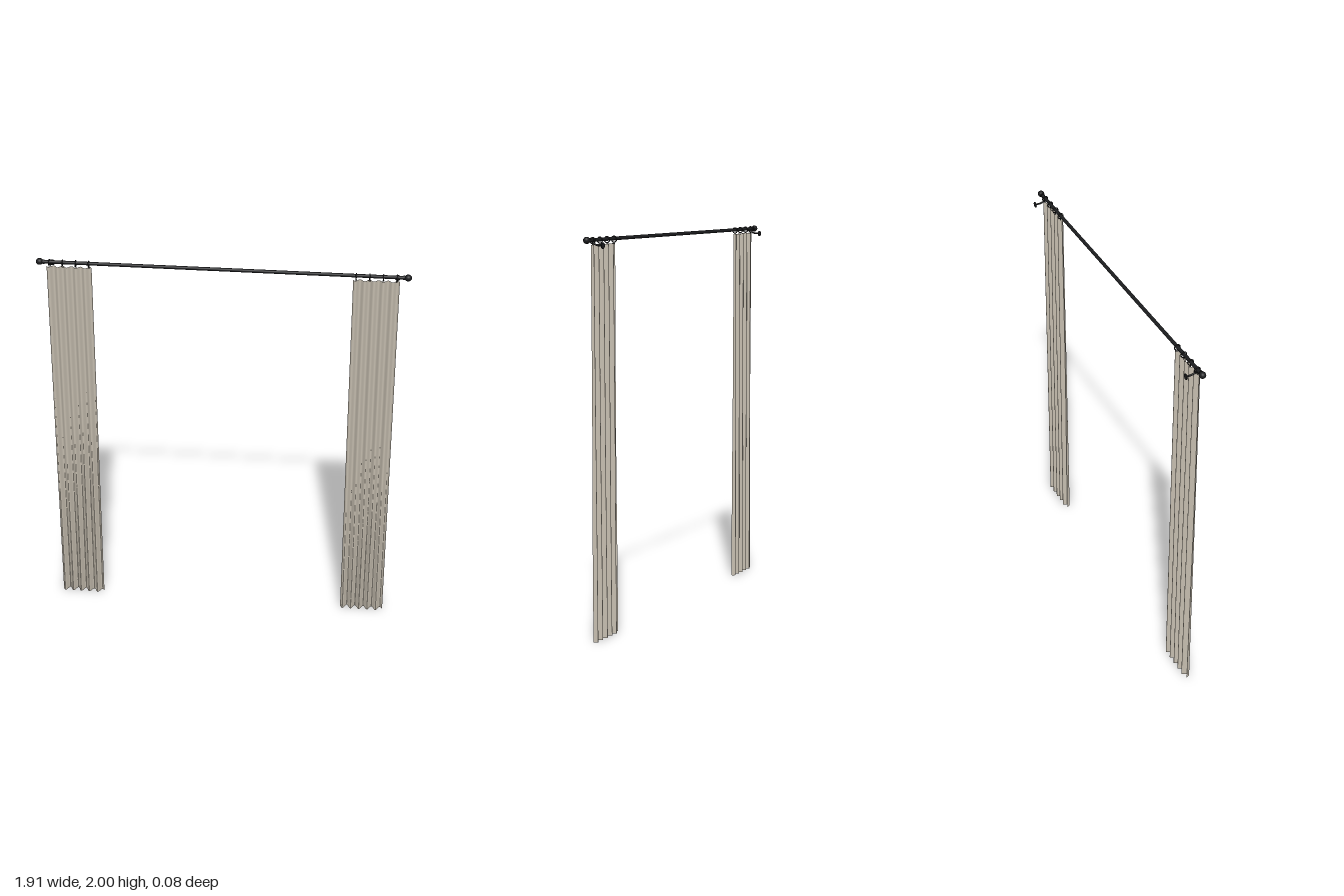
import * as THREE from 'three';

const ROD_Y = 1.983, ROD_Z = 0.02;
const metal = new THREE.MeshStandardMaterial({ color: 0x1c1d1f });
const cloth = new THREE.MeshStandardMaterial({ color: 0xc4bcae, side: THREE.DoubleSide });

function add(parent, name, geometry, material, x = 0, y = 0, z = 0) {
  const mesh = new THREE.Mesh(geometry, material);
  mesh.name = name;
  mesh.position.set(x, y, z);
  parent.add(mesh);
  return mesh;
}

// Pleated sheet: five folds that deepen and drift slightly towards the hem
function curtainGeometry(width, height, folds) {
  const geo = new THREE.PlaneGeometry(width, height, folds * 16, 32);
  const pos = geo.attributes.position;
  for (let i = 0; i < pos.count; i++) {
    const u = pos.getX(i) / width + 0.5;
    const drop = 0.5 - pos.getY(i) / height;
    const depth = 0.011 + 0.006 * drop;
    const drift = 0.25 * Math.sin(drop * 5 + u * 4) * drop;
    const z = Math.sin(u * folds * Math.PI * 2 + drift);
    pos.setZ(i, depth * z);
  }
  geo.computeVertexNormals();
  return geo;
}

// Ring around the rod with a small eyelet that holds the cloth
function curtainRing(x) {
  const ring = new THREE.Group();
  ring.name = 'curtainRing';
  ring.position.set(x, ROD_Y - 0.003, ROD_Z);
  add(ring, 'ringHoop', new THREE.TorusGeometry(0.0145, 0.0028, 10, 32), metal).rotation.y = Math.PI / 2;
  add(ring, 'ringEyelet', new THREE.TorusGeometry(0.004, 0.0012, 8, 16), metal, 0, -0.02, 0);
  return ring;
}

// Wall bracket: cup under the rod, curved arm, round wall plate
function bracket(x) {
  const group = new THREE.Group();
  group.name = 'wallBracket';
  group.position.x = x;
  const path = new THREE.CatmullRomCurve3([
    new THREE.Vector3(0, ROD_Y - 0.008, ROD_Z),
    new THREE.Vector3(0, 1.964, 0.008),
    new THREE.Vector3(0, 1.958, -0.01),
    new THREE.Vector3(0, 1.957, -0.037),
  ]);
  add(group, 'bracketArm', new THREE.TubeGeometry(path, 24, 0.0045, 12), metal);
  add(group, 'bracketCup', new THREE.CylinderGeometry(0.0115, 0.0115, 0.011, 24), metal, 0, ROD_Y, ROD_Z)
    .rotation.z = Math.PI / 2;
  add(group, 'wallPlate', new THREE.CylinderGeometry(0.015, 0.015, 0.005, 32), metal, 0, 1.957, -0.0375)
    .rotation.x = Math.PI / 2;
  return group;
}

export function createModel() {
  const model = new THREE.Group();
  model.name = 'curtainsOnRod';

  // Rod
  add(model, 'rod', new THREE.CylinderGeometry(0.009, 0.009, 1.85, 32), metal, 0, ROD_Y, ROD_Z)
    .rotation.z = Math.PI / 2;

  // Finials, collars and brackets, mirrored
  for (const side of [-1, 1]) {
    add(model, 'finial', new THREE.SphereGeometry(0.017, 32, 20), metal, side * 0.935, ROD_Y, ROD_Z)
      .scale.x = 1.1;
    add(model, 'finialCollar', new THREE.CylinderGeometry(0.0115, 0.0115, 0.008, 24), metal,
      side * 0.914, ROD_Y, ROD_Z).rotation.z = Math.PI / 2;
    model.add(bracket(side * 0.882));
  }

  // Two gathered curtains, each hung from four rings
  const panel = curtainGeometry(0.233, 1.96, 5);
  for (const [name, x] of [['rightCurtain', -0.783], ['leftCurtain', 0.778]]) {
    add(model, name, panel, cloth, x, 0.98, 0.022);
    for (let i = 0; i < 4; i++) model.add(curtainRing(x + (i - 1.5) * 0.068));
  }
  return model;
}
